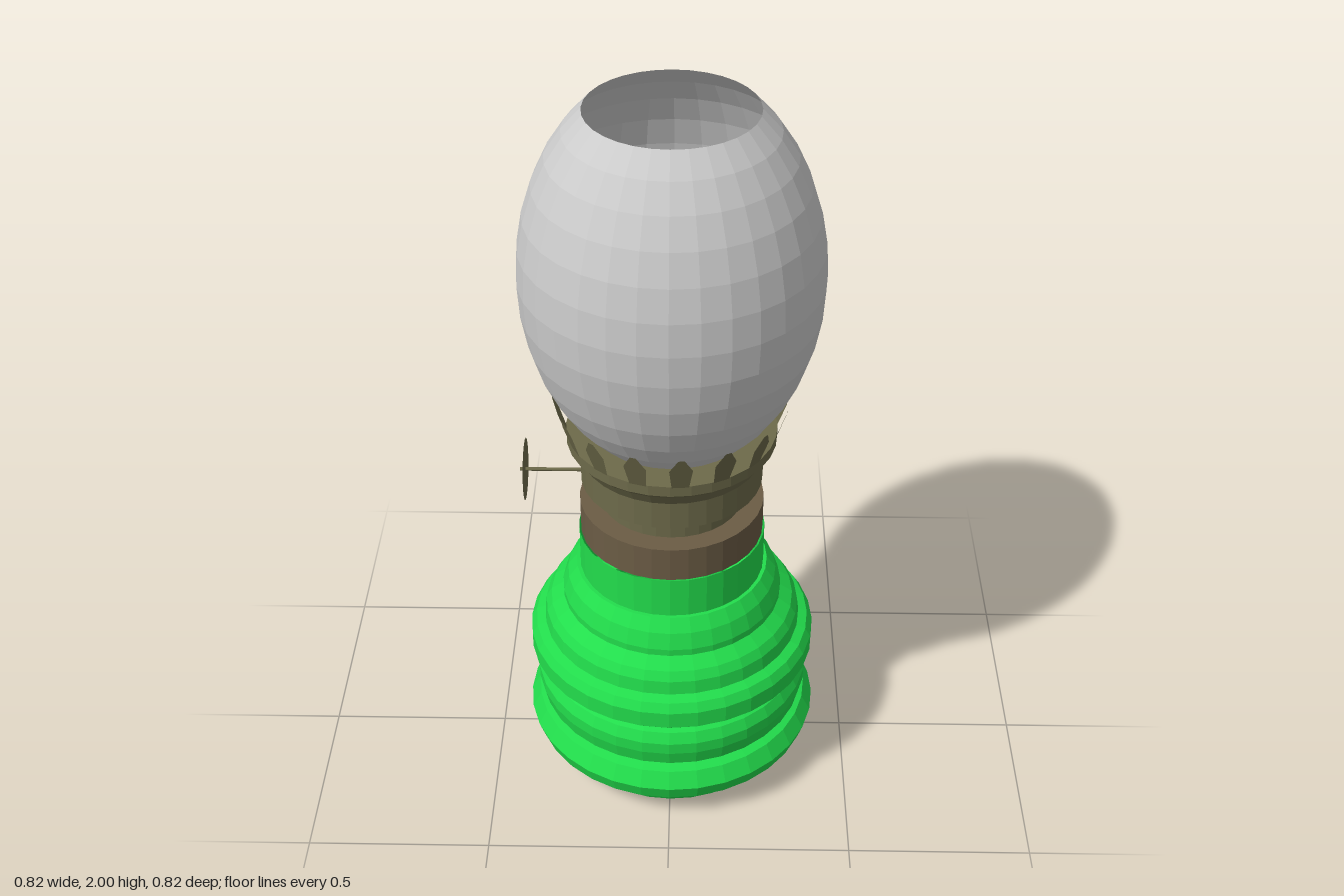
import * as THREE from 'three';

const SIDES = 32;
const paint = (color) => new THREE.MeshStandardMaterial({ color, flatShading: true, side: THREE.DoubleSide });

export function createModel() {
  const lamp = new THREE.Group();
  lamp.name = 'oilLamp';
  const green = paint(0x22dd4c), olive = paint(0x6d6a4a), brown = paint(0x6b5c45);
  const grey = paint(0xcccccc), black = paint(0x101012);

  const add = (name, geometry, material, parent = lamp) => {
    const mesh = new THREE.Mesh(geometry, material);
    mesh.name = name;
    parent.add(mesh);
    return mesh;
  };
  // profile: [radius, height] pairs from bottom to top
  const turned = (name, profile, material, sides = SIDES) =>
    add(name, new THREE.LatheGeometry(profile.map(([r, y]) => new THREE.Vector2(r, y)), sides), material);

  // Ribbed fuel reservoir with a recessed base
  turned('reservoir', [
    [0, 0.04], [0.28, 0.04], [0.285, 0], [0.315, 0], [0.33, 0.03], [0.33, 0.055],
    [0.36, 0.06], [0.395, 0.09], [0.41, 0.135], [0.385, 0.18], [0.35, 0.19],
    [0.375, 0.205], [0.385, 0.25], [0.385, 0.285], [0.37, 0.315], [0.35, 0.325], [0.35, 0.335],
    [0.385, 0.35], [0.4, 0.365], [0.4, 0.415], [0.385, 0.44], [0.36, 0.45],
    [0.355, 0.49], [0.34, 0.515], [0.305, 0.54], [0.305, 0.56], [0.29, 0.605],
    [0.265, 0.64], [0.255, 0.64], [0.255, 0.76],
  ], green);

  // Collar, narrow neck and burner
  turned('collar', [[0.25, 0.76], [0.25, 0.86], [0.19, 0.86]], brown);
  turned('neck', [[0.195, 0.86], [0.195, 0.93]], olive);
  turned('burner', [
    [0.19, 0.93], [0.245, 0.93], [0.245, 1.01], [0.265, 1.045], [0.28, 1.06], [0.28, 1.09], [0.037, 1.09],
  ], olive);

  // Wick tube and wick
  turned('wickTube', [[0.038, 1.08], [0.038, 1.16], [0.031, 1.16], [0.031, 1.08]], grey);
  turned('wick', [[0.031, 1.08], [0.031, 1.14], [0, 1.14]], black);

  // Glass chimney: an ellipsoid cut off at both ends
  const glass = [];
  for (let i = 0; i <= 12; i++) {
    const a = THREE.MathUtils.lerp(-0.985, 0.985, i / 12);
    glass.push([0.39 * Math.cos(a), 1.55 + 0.54 * Math.sin(a)]);
  }
  turned('glassChimney', glass, grey);

  // Ring of pointed prongs that lean outwards around the glass
  const outline = [[-0.022, 0], [0.022, 0], [0.03, 0.07], [0.008, 0.11], [-0.008, 0.11], [-0.03, 0.07]];
  const prong = new THREE.ShapeGeometry(new THREE.Shape(outline.map(([x, y]) => new THREE.Vector2(x, y))));
  const p = prong.attributes.position;
  for (let i = 0; i < p.count; i++) p.setZ(i, 0.278 + 0.32 * p.getY(i));
  prong.computeVertexNormals();
  const prongs = new THREE.Group();
  prongs.name = 'prongs';
  lamp.add(prongs);
  for (let i = 0; i < 16; i++) {
    const mesh = add('prong', prong, olive, prongs);
    mesh.position.y = 1.085;
    mesh.rotation.y = 0.096 + (i * Math.PI) / 8;
  }

  // Wick adjuster: a thin rod with a round thumb disc
  const rod = add('adjusterRod', new THREE.CylinderGeometry(0.005, 0.005, 0.23, 8), olive);
  rod.rotation.z = Math.PI / 2;
  rod.position.set(-0.295, 0.935, 0);
  const disc = add('adjusterDisc', new THREE.CircleGeometry(0.085, 24), olive);
  disc.rotation.y = -Math.PI / 2;
  disc.position.set(-0.395, 0.935, 0);

  return lamp;
}
